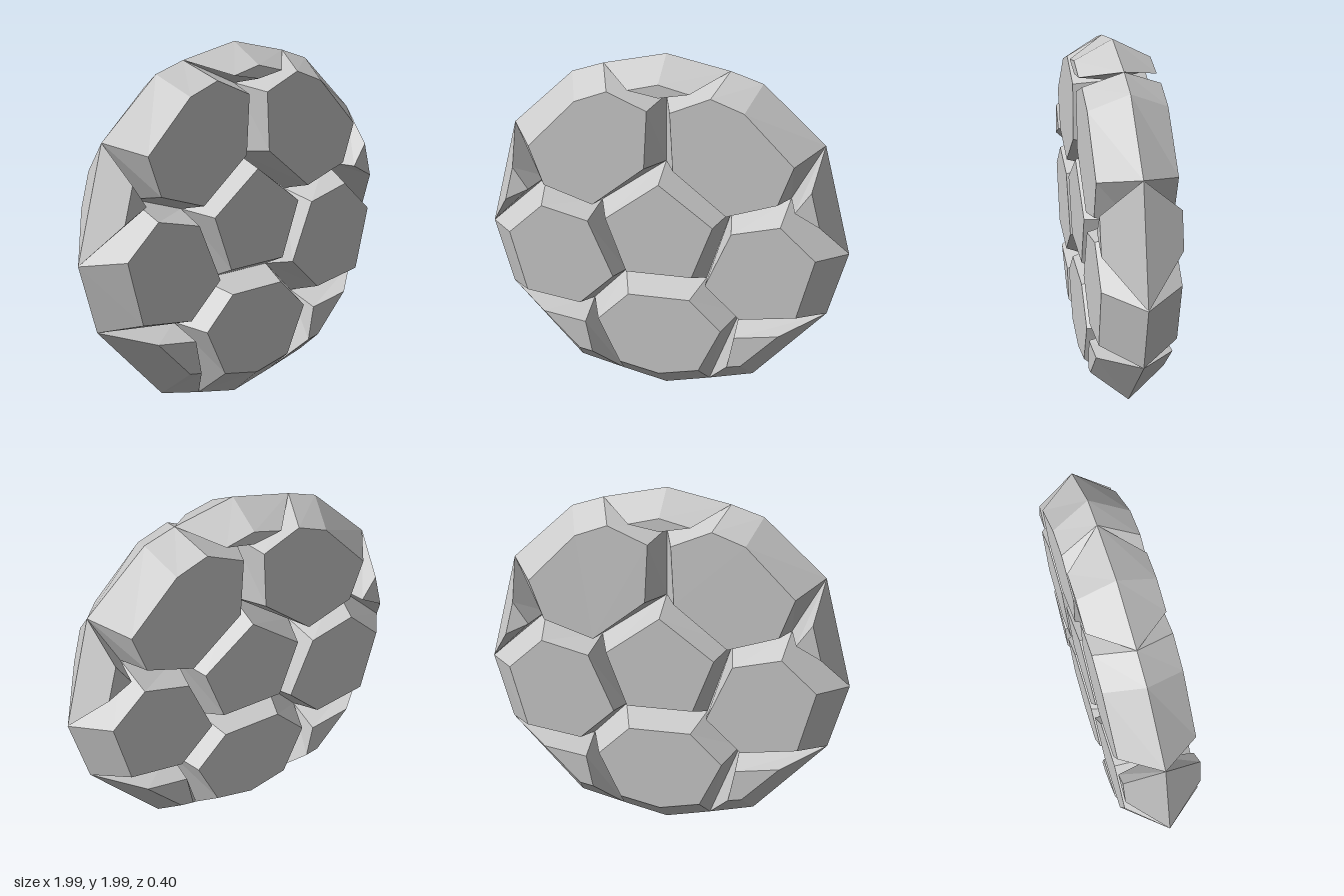
import * as THREE from 'three';

const material = new THREE.MeshStandardMaterial({ color: 0xcccccc, flatShading: true });
const DEPTH = 0.2;

// Stone-like panel: widest outline on the middle plane, smaller flat faces front and back.
// Both outlines run clockwise as seen from the front, with matching corners.
function panel(name, rim, face, mirror = false) {
  const place = (points, z) => {
    const loop = points.map(([x, y]) => [mirror ? -x : x, y, z]);
    return mirror ? loop : loop.reverse(); // always counter-clockwise
  };
  const back = place(face, -DEPTH), middle = place(rim, 0), front = place(face, DEPTH);
  const n = rim.length, positions = [];
  const tri = (a, b, c) => positions.push(...a, ...b, ...c);
  // bevels
  for (const [low, high] of [[back, middle], [middle, front]]) {
    for (let i = 0; i < n; i++) {
      const j = (i + 1) % n;
      tri(low[i], low[j], high[j]);
      tri(low[i], high[j], high[i]);
    }
  }
  // flat faces
  for (let i = 1; i < n - 1; i++) {
    tri(front[0], front[i], front[i + 1]);
    tri(back[0], back[i + 1], back[i]);
  }
  const geometry = new THREE.BufferGeometry();
  geometry.setAttribute('position', new THREE.Float32BufferAttribute(positions, 3));
  geometry.computeVertexNormals();
  const mesh = new THREE.Mesh(geometry, material);
  mesh.name = name;
  return mesh;
}

export function createModel() {
  const group = new THREE.Group();
  group.name = 'panelledBallDisc';

  // Corners shared by neighbouring panels on the middle plane
  const apex = [0, 1.4], shoulder = [0.36, 1.14], foot = [0.23, 0.72], footL = [-0.23, 0.72];
  const neck = [0.675, 1.245], hip = [0.42, 0.52], crown = [0, 1.77];
  const topEdge = [0.335, 1.918], upperEdge = [0.838, 1.555], sideEdge = [0.997, 0.95];
  const lowerEdge = [0.9, 0.575], bottomEdge = [0.255, 0.065];
  const flip = ([x, y]) => [-x, y];

  // Panels on the centre line
  group.add(panel('centrePentagon',
    [apex, shoulder, foot, footL, flip(shoulder)],
    [[0, 1.34], [0.29, 1.12], [0.18, 0.815], [-0.18, 0.815], [-0.29, 1.12]]));
  group.add(panel('bottomPanel',
    [footL, foot, hip, bottomEdge, [0, 0.005], flip(bottomEdge), flip(hip)],
    [[-0.17, 0.675], [0.17, 0.675], [0.345, 0.5], [0.225, 0.235], [0, 0.185], [-0.225, 0.235], [-0.345, 0.5]]));
  group.add(panel('topPanel',
    [[0, 1.99], topEdge, crown, flip(topEdge)],
    [[0, 1.885], [0.16, 1.845], [0, 1.815], [-0.16, 1.845]]));

  // Panels in mirrored pairs
  const pairs = {
    UpperPanel: [
      [apex, crown, topEdge, [0.505, 1.862], upperEdge, neck, shoulder],
      [[0.077, 1.425], [0.06, 1.74], [0.268, 1.83], [0.44, 1.765], [0.7, 1.5], [0.625, 1.285], [0.36, 1.195]]],
    SidePanel: [
      [shoulder, neck, sideEdge, lowerEdge, hip, foot],
      [[0.39, 1.095], [0.645, 1.16], [0.835, 0.985], [0.75, 0.637], [0.447, 0.59], [0.255, 0.775]]],
    OuterUpperPanel: [
      [upperEdge, sideEdge, neck],
      [[0.795, 1.37], [0.845, 1.18], [0.715, 1.25]]],
    OuterLowerPanel: [
      [hip, lowerEdge, [0.505, 0.13], bottomEdge],
      [[0.42, 0.47], [0.66, 0.51], [0.46, 0.295], [0.385, 0.28]]],
  };
  for (const [name, [rim, face]] of Object.entries(pairs)) {
    group.add(panel('left' + name, rim, face));
    group.add(panel('right' + name, rim, face, true));
  }
  return group;
}
